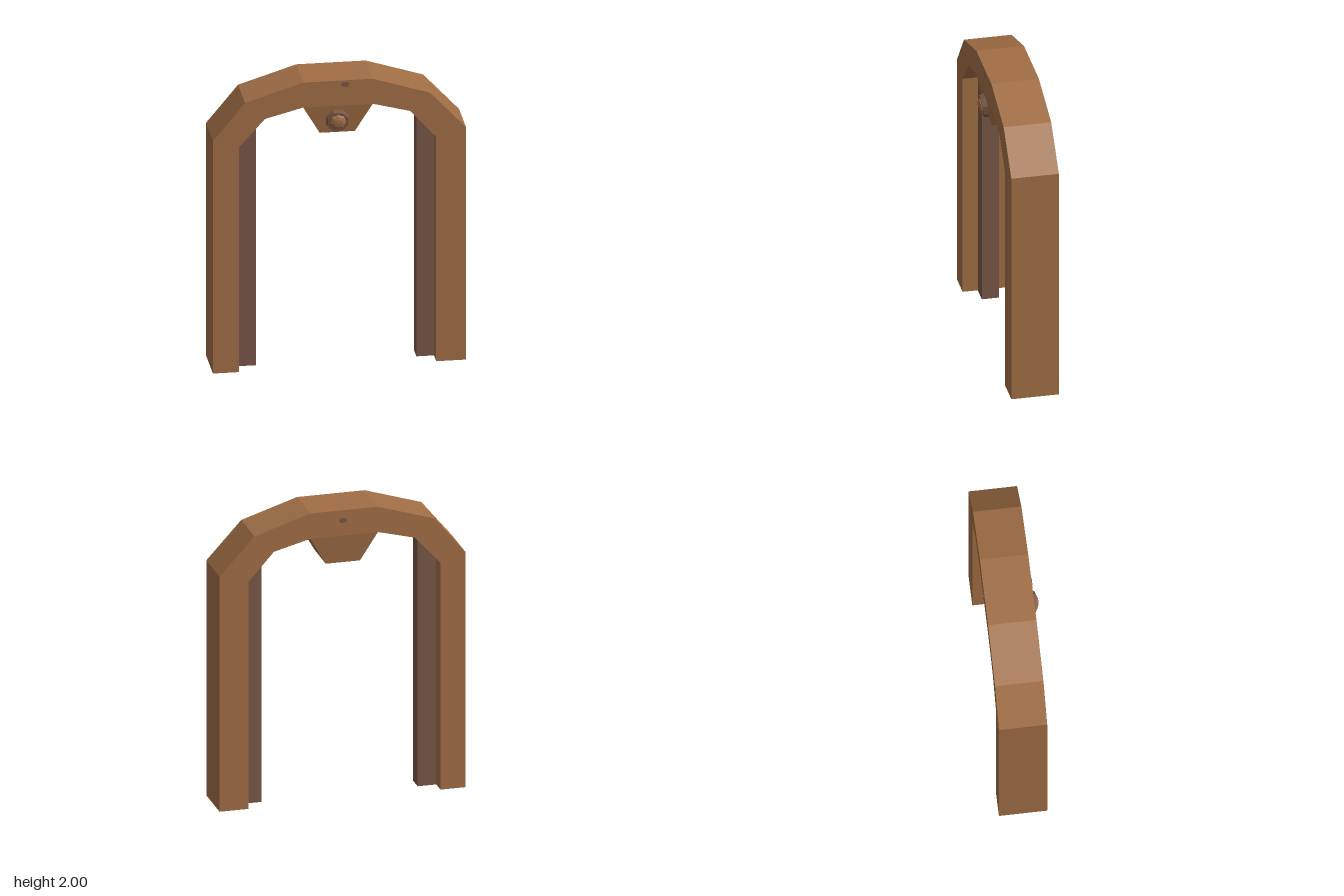
import * as THREE from 'three';

const wood = new THREE.MeshStandardMaterial({ color: 0xa06e45, side: THREE.DoubleSide, flatShading: true });
wood.name = 'warm wood';
const dark = new THREE.MeshStandardMaterial({ color: 0x785646, side: THREE.DoubleSide, flatShading: true });
dark.name = 'dark wood';

const FRONT = 0.14, BACK = -0.175;

function add(parent, name, geometry, material) {
  const mesh = new THREE.Mesh(geometry, material);
  mesh.name = name;
  parent.add(mesh);
  return mesh;
}

// Drops the faces lying on the ground, leaving the feet hollow
function openBottom(geometry) {
  const source = geometry.index ? geometry.toNonIndexed() : geometry;
  const p = source.attributes.position;
  const kept = [];
  for (let i = 0; i < p.count; i += 3) {
    if (Math.max(p.getY(i), p.getY(i + 1), p.getY(i + 2)) < 1e-4) continue;
    for (let j = i; j < i + 3; j++) kept.push(p.getX(j), p.getY(j), p.getZ(j));
  }
  const result = new THREE.BufferGeometry();
  result.setAttribute('position', new THREE.Float32BufferAttribute(kept, 3));
  result.computeVertexNormals();
  return result;
}

export function createModel() {
  const model = new THREE.Group();
  model.name = 'archway';

  // Faceted arch with both legs
  const outline = [
    [-0.83, 0], [-0.66, 0], [-0.66, 1.57], [-0.49, 1.76], [-0.24, 1.825],
    [0.215, 1.825], [0.46, 1.76], [0.63, 1.57], [0.63, 0], [0.825, 0],
    [0.825, 1.625], [0.59, 1.88], [0.215, 2], [-0.24, 2], [-0.62, 1.88], [-0.83, 1.625],
  ].map(([x, y]) => new THREE.Vector2(x, y));
  const archGeometry = new THREE.ExtrudeGeometry(new THREE.Shape(outline), {
    depth: FRONT - BACK, bevelEnabled: false,
  });
  archGeometry.translate(0, 0, BACK);
  add(model, 'arch', openBottom(archGeometry), wood);

  // Narrow posts set into the inner side of each leg
  for (const [name, x0, x1] of [['rightInnerPost', -0.7, -0.535], ['leftInnerPost', 0.515, 0.685]]) {
    const post = new THREE.BoxGeometry(x1 - x0, 1.72, 0.115);
    post.translate((x0 + x1) / 2, 0.86, -0.0175);
    add(model, name, openBottom(post), dark);
  }

  // Keystone, tapering downwards on all four sides
  const keystone = new THREE.BoxGeometry(1, 1, 1);
  const k = keystone.attributes.position;
  for (let i = 0; i < k.count; i++) {
    const top = k.getY(i) > 0;
    const halfWidth = top ? 0.2275 : 0.115;
    const inset = top ? 0 : 0.03;
    k.setXYZ(i,
      -0.0125 + Math.sign(k.getX(i)) * halfWidth,
      top ? 1.825 : 1.63,
      k.getZ(i) > 0 ? FRONT - inset : BACK + inset);
  }
  keystone.computeVertexNormals();
  add(model, 'keystone', keystone, wood);

  // Octagonal boss and domed stud, square to the sloping keystone face
  const boss = new THREE.Group();
  boss.name = 'boss';
  boss.position.set(-0.015, 1.72, 0.124);
  boss.rotation.x = Math.atan(0.03 / 0.195);
  model.add(boss);
  const plate = new THREE.CylinderGeometry(0.072, 0.081, 0.034, 8, 1, false, Math.PI / 8);
  plate.rotateX(Math.PI / 2).translate(0, 0, 0.015);
  add(boss, 'bossPlate', plate, dark);
  const dome = new THREE.SphereGeometry(0.057, 8, 3, 0, Math.PI * 2, 0, Math.PI / 2);
  dome.rotateX(Math.PI / 2).scale(1, 1, 0.42).translate(0, 0, 0.03);
  add(boss, 'bossStud', dome, wood);

  // Slanted peg passing through the crown of the arch
  const start = new THREE.Vector3(-0.005, 1.93, BACK - 0.003);
  const end = new THREE.Vector3(0.035, 1.972, FRONT + 0.003);
  const peg = new THREE.CylinderGeometry(1, 1, end.z - start.z, 8);
  peg.rotateX(Math.PI / 2).scale(0.028, 0.018, 1);
  const p = peg.attributes.position;
  for (let i = 0; i < p.count; i++) {
    const t = p.getZ(i) > 0 ? 1 : 0;
    const c = start.clone().lerp(end, t);
    p.setXYZ(i, p.getX(i) + c.x, p.getY(i) + c.y, c.z);
  }
  peg.computeVertexNormals();
  add(model, 'crownPeg', peg, dark);

  return model;
}
